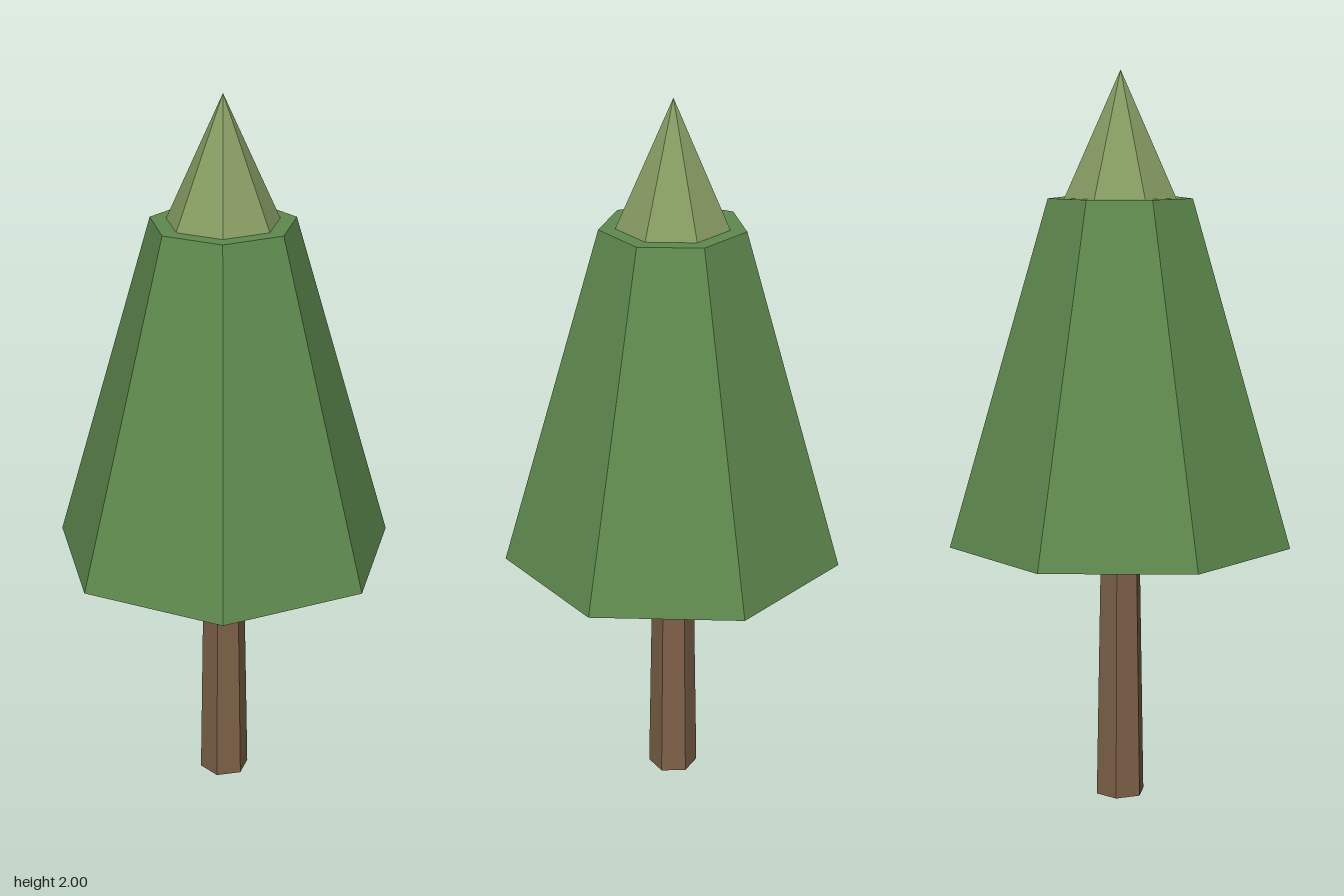
import * as THREE from 'three';

const AXIS_X = -0.0235; // the uneven seven-sided crown sits slightly off centre

// Tapered faceted section with one corner pointing to +x
function section(name, topRadius, bottomRadius, y0, y1, sides, color) {
  const geometry = new THREE.CylinderGeometry(
    topRadius, bottomRadius, y1 - y0, sides, 1, false, Math.PI / 2);
  const material = new THREE.MeshStandardMaterial({ color, flatShading: true });
  const mesh = new THREE.Mesh(geometry, material);
  mesh.name = name;
  mesh.position.set(AXIS_X, (y0 + y1) / 2, 0);
  return mesh;
}

export function createModel() {
  const tree = new THREE.Group();
  tree.name = 'tree';
  tree.add(
    section('trunk', 0.057, 0.07, 0, 0.72, 6, 0x7d6147),
    section('foliage', 0.199, 0.4735, 0.72, 1.66, 7, 0x5f8a4e),
    section('treetop', 0, 0.154, 1.66, 2, 7, 0x879c63),
  );
  return tree;
}
